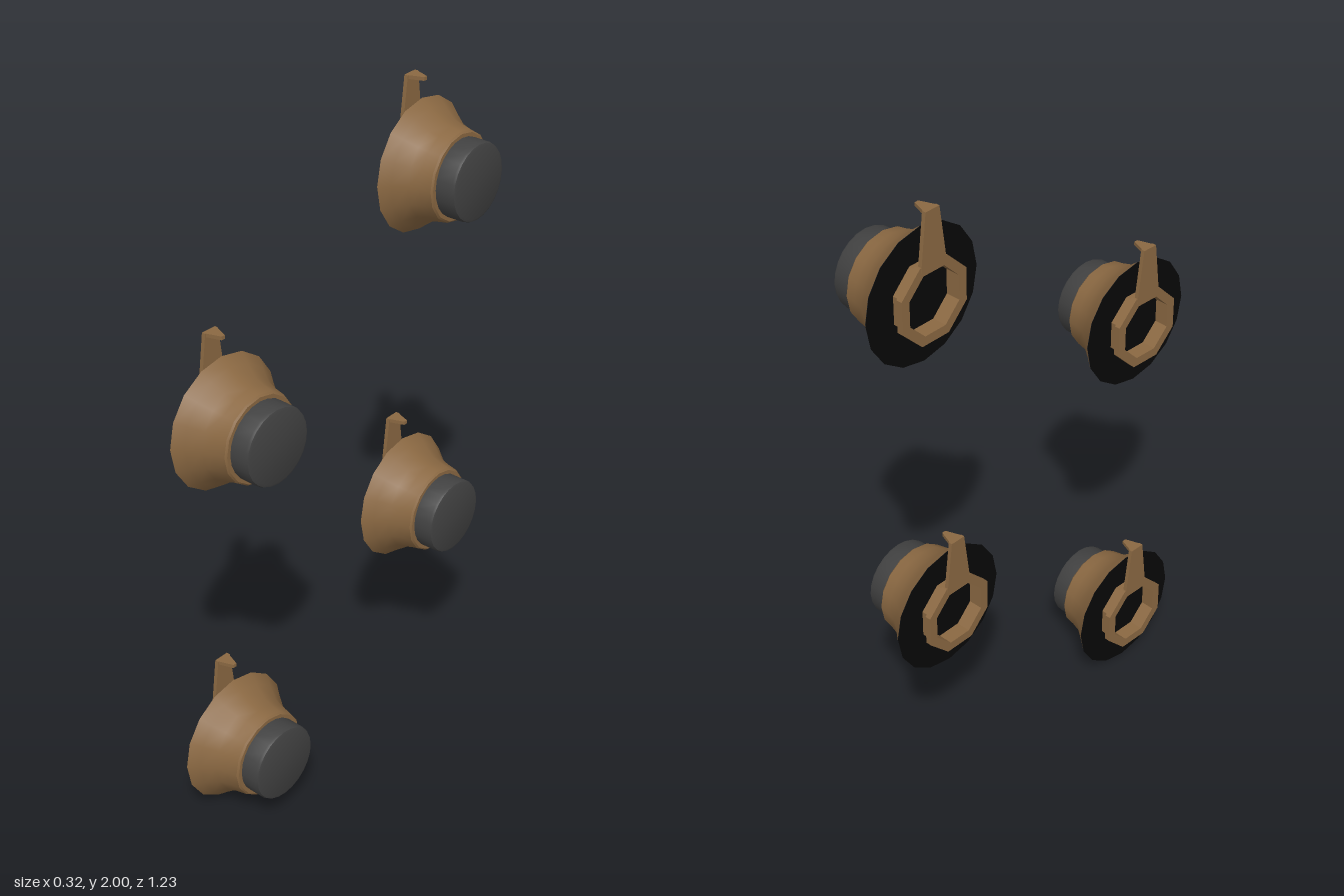
import * as THREE from 'three';
import { toCreasedNormals } from 'three/addons/utils/BufferGeometryUtils.js';

const brown = new THREE.MeshStandardMaterial({ color: 0x8a6842 });
brown.name = 'bronze';
const grey = new THREE.MeshStandardMaterial({ color: 0x414141 });
grey.name = 'darkGrey';
const black = new THREE.MeshStandardMaterial({ color: 0x080808 });
black.name = 'black';

const vectors = (list) => list.map(([r, x]) => new THREE.Vector2(r, x));

// Lathe turned so its axis runs along +x; profile is [radius, x]
function turned(profile, sides, start = 0) {
  const g = new THREE.LatheGeometry(vectors(profile), sides, start);
  return toCreasedNormals(g.rotateZ(-Math.PI / 2), 0.6);
}

function plate(points, depth) {
  return new THREE.ExtrudeGeometry(new THREE.Shape(vectors(points)), { depth, bevelEnabled: false });
}

function add(group, name, geometry, material) {
  const mesh = new THREE.Mesh(geometry, material);
  mesh.name = name;
  group.add(mesh);
}

// Flared housing, with its front shoulder
const housing = turned([
  [0.199, 0], [0.175, 0.03], [0.148, 0.068], [0.139, 0.1],
  [0.133, 0.134], [0.128, 0.139], [0.108, 0.139],
], 16);

// Front cap with a softened edge
const cap = turned([
  [0.116, 0.13], [0.116, 0.192], [0.113, 0.199], [0.106, 0.202], [0, 0.202],
], 24);

// Flat dark back face
const back = turned([[0, 0], [0.198, 0]], 16);

// Octagonal stepped mounting ring, open in the middle
const ring = turned([
  [0.095, -0.044], [0.124, -0.044], [0.124, -0.026], [0.109, -0.026],
  [0.109, 0], [0.095, 0], [0.095, -0.044],
], 8, Math.PI / 8);

// Tapered hanging strip with a pointed lip bent forward
const strip = plate([[-0.045, 0.1], [0.045, 0.1], [0.024, 0.263], [-0.024, 0.263]], 0.012)
  .rotateY(Math.PI / 2).translate(-0.045, 0, 0);
const lip = plate([[-0.04, -0.024], [0.01, -0.006], [0.01, 0.006], [-0.04, 0.024]], 0.011)
  .rotateX(Math.PI / 2).translate(0, 0.263, 0);

function makeUnit(name, x, y, z, turn) {
  const unit = new THREE.Group();
  unit.name = name;
  add(unit, 'flaredHousing', housing, brown);
  add(unit, 'frontCap', cap, grey);
  add(unit, 'backFace', back, black);
  add(unit, 'mountingRing', ring, brown);
  add(unit, 'hangingStrip', strip, brown);
  add(unit, 'hookLip', lip, brown);
  unit.position.set(x, y, z);
  unit.rotation.y = turn;
  return unit;
}

export function createModel() {
  const model = new THREE.Group();
  model.name = 'flaredUnits';
  model.add(
    makeUnit('upperBackUnit', -0.105, 1.737, -0.413, 0.09),
    makeUnit('upperFrontUnit', -0.05, 1.272, 0.416, 0.04),
    makeUnit('lowerBackUnit', -0.095, 0.669, -0.346, 0.08),
    makeUnit('lowerFrontUnit', -0.05, 0.2, 0.416, 0.05),
  );
  return model;
}
